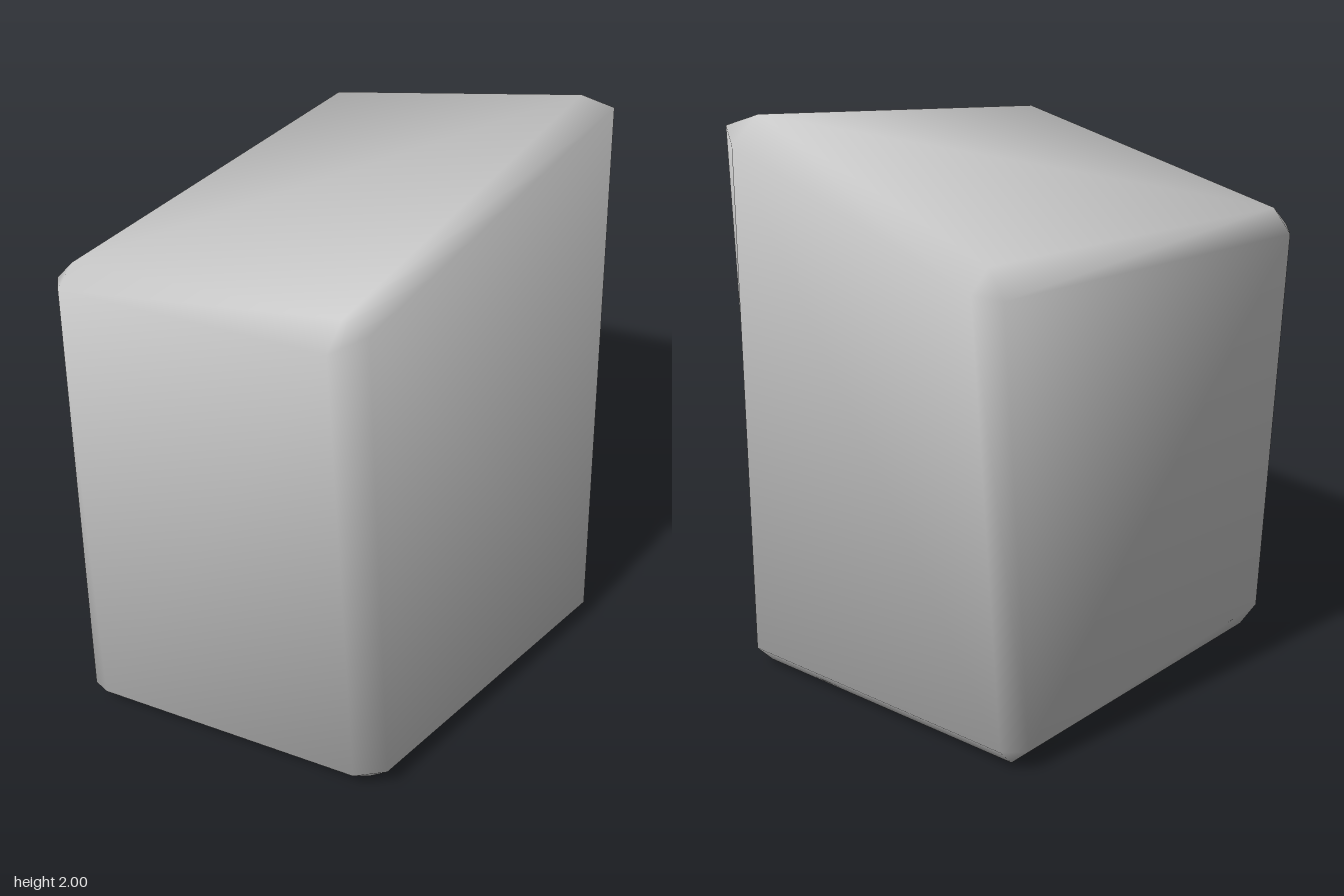
import * as THREE from 'three';
import { toCreasedNormals } from 'three/addons/utils/BufferGeometryUtils.js';

// Each block corner has one point on its side (x), cap (y) and front/back (z) face.
// Corner order counts in bits: 1 = right, 2 = top, 4 = front.
const CORNERS = [
  [[-0.86, 0.07, -0.33], [-0.80, 0, -0.36], [-0.85, 0.07, -0.39]],
  [[0.60, 0.07, -0.55], [0.53, 0, -0.53], [0.53, 0.07, -0.61]],
  [[-0.71, 1.56, -0.57], [-0.64, 1.63, -0.57], [-0.65, 1.55, -0.635]],
  [[0.75, 1.62, -0.59], [0.68, 1.69, -0.59], [0.68, 1.60, -0.655]],
  [[-0.61, 0.07, 0.58], [-0.52, 0, 0.58], [-0.52, 0.07, 0.655]],
  [[0.68, 0.07, 0.59], [0.61, 0, 0.60], [0.60, 0.07, 0.655]],
  [[-0.62, 1.74, 0.48], [-0.55, 1.83, 0.48], [-0.51, 1.78, 0.55]],
  [[0.855, 1.92, 0.38], [0.74, 2.0, 0.39], [0.80, 1.96, 0.48]],
];

function blockGeometry() {
  const points = CORNERS.flat().map((p) => new THREE.Vector3(...p));
  const middle = new THREE.Vector3(0, 0.95, 0);
  const positions = [];

  // Adds a triangle, turned to face away from the middle
  const tri = (i, j, k) => {
    const [a, b, c] = [points[i], points[j], points[k]];
    const normal = b.clone().sub(a).cross(c.clone().sub(a));
    const outward = a.clone().add(b).add(c).divideScalar(3).sub(middle);
    const order = normal.dot(outward) > 0 ? [a, b, c] : [a, c, b];
    order.forEach((p) => positions.push(p.x, p.y, p.z));
  };
  const quad = (a, b, c, d) => {
    tri(a, b, c);
    tri(a, c, d);
  };
  const id = (corner, axis) => corner * 3 + axis;

  for (let axis = 0; axis < 3; axis++) {
    const u = (axis + 1) % 3, v = (axis + 2) % 3;
    const bu = 1 << u, bv = 1 << v;

    // Two large faces, each folded along its ridge diagonal
    for (const side of [0, 1]) {
      const base = side << axis;
      const loop = [base, base | bu, base | bu | bv, base | bv].map((c) => id(c, axis));
      if (axis === 2 || (axis === 1 && side === 0)) loop.push(loop.shift());
      quad(...loop);
    }

    // Four bevel strips running along this axis
    for (const c of [0, bu, bv, bu | bv]) {
      const end = c | (1 << axis);
      quad(id(c, u), id(end, u), id(end, v), id(c, v));
    }
  }

  // Corner caps
  for (let c = 0; c < 8; c++) tri(id(c, 0), id(c, 1), id(c, 2));

  const geometry = new THREE.BufferGeometry();
  geometry.setAttribute('position', new THREE.Float32BufferAttribute(positions, 3));
  return toCreasedNormals(geometry, Math.PI);
}

export function createModel() {
  const stone = new THREE.MeshStandardMaterial({ color: 0xcccccc });
  stone.name = 'stone grey';
  const block = new THREE.Mesh(blockGeometry(), stone);
  block.name = 'bevelledBlock';
  const model = new THREE.Group();
  model.name = 'stoneBlock';
  model.add(block);
  return model;
}
